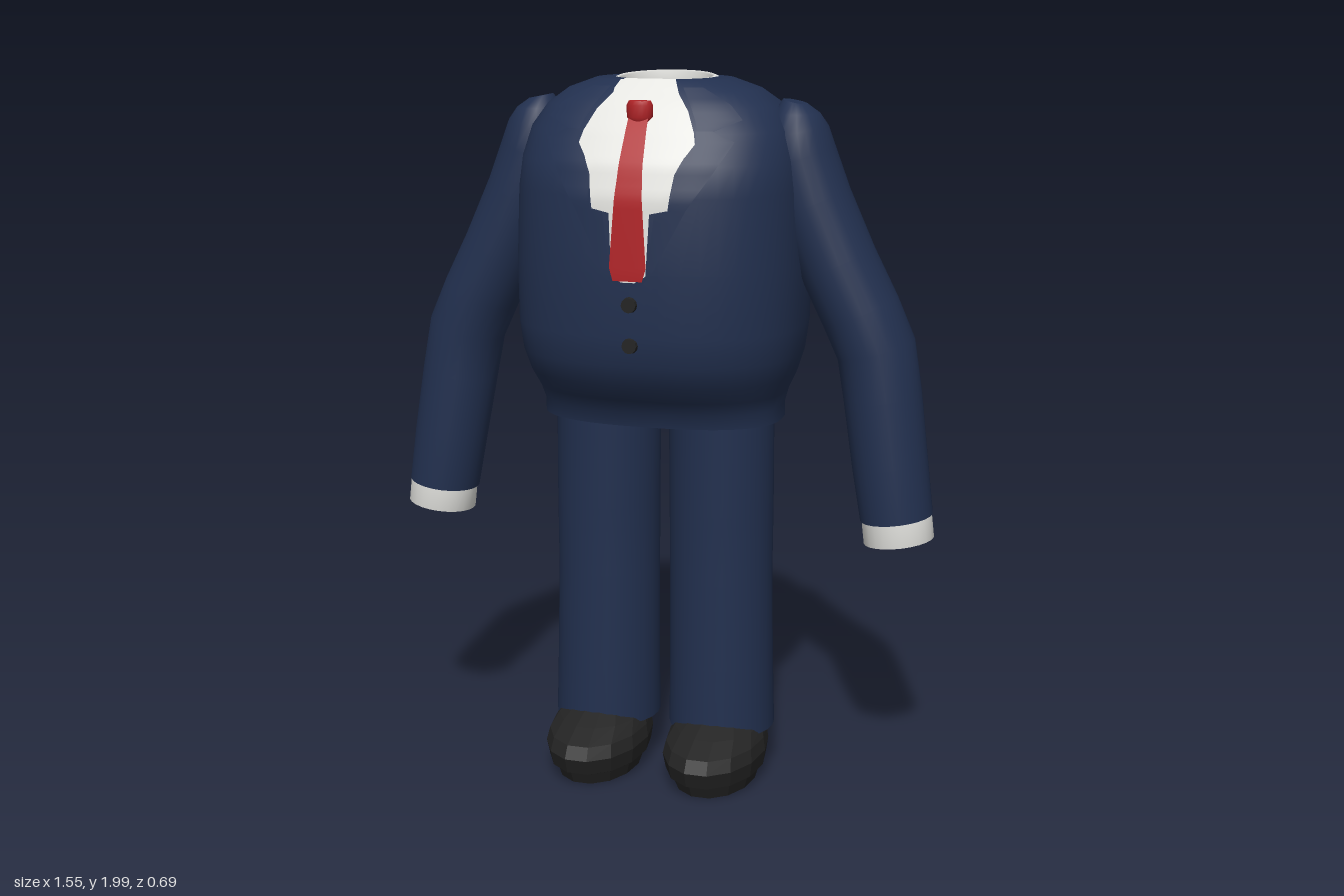
import * as THREE from 'three';

const mat = (name, color, extra = {}) =>
  Object.assign(new THREE.MeshStandardMaterial({ color, side: THREE.DoubleSide, ...extra }), { name });

// Jacket profile from hem to neck: y, half width, front depth, back depth
const PROFILE = [
  [1.06, 0.338, 0.205, 0.235], [1.1, 0.338, 0.215, 0.215], [1.14, 0.348, 0.245, 0.24],
  [1.19, 0.37, 0.288, 0.28], [1.25, 0.388, 0.316, 0.316], [1.33, 0.398, 0.33, 0.335],
  [1.5, 0.4, 0.333, 0.34], [1.7, 0.393, 0.324, 0.34], [1.78, 0.385, 0.3, 0.328],
  [1.86, 0.362, 0.25, 0.292], [1.92, 0.32, 0.205, 0.25], [1.96, 0.265, 0.165, 0.208],
  [1.987, 0.19, 0.135, 0.165], [1.99, 0.135, 0.115, 0.135],
];
const power = (hx) => 2 + 0.5 * THREE.MathUtils.clamp((hx - 0.14) / 0.2, 0, 1);

function profileAt(y) {
  let i = 0;
  while (i < PROFILE.length - 2 && y > PROFILE[i + 1][0]) i++;
  const a = PROFILE[i], b = PROFILE[i + 1];
  const t = THREE.MathUtils.clamp((y - a[0]) / (b[0] - a[0]), 0, 1);
  return a.map((v, k) => v + (b[k] - v) * t);
}

// Depth of the jacket front at a given x and y
function frontZ(x, y) {
  const [, hx, zf] = profileAt(y), n = power(hx);
  return zf * Math.pow(Math.max(0, 1 - Math.pow(Math.abs(x) / hx, n)), 1 / n);
}

function buildGeometry(points, index) {
  const g = new THREE.BufferGeometry();
  g.setAttribute('position', new THREE.Float32BufferAttribute(points.flat(), 3));
  g.setIndex(index);
  g.computeVertexNormals();
  return g;
}

// Skin closed rings, listed from bottom to top, with optional flat end caps
function loft(rings, capBottom = false, capTop = false) {
  const n = rings[0].length, pts = rings.flat(), idx = [];
  for (let r = 0; r < rings.length - 1; r++) {
    for (let i = 0; i < n; i++) {
      const a = r * n + i, b = r * n + (i + 1) % n;
      idx.push(a, a + n, b, b, a + n, b + n);
    }
  }
  const cap = (ring, top) => {
    const start = pts.length;
    pts.push(...ring, [0, 1, 2].map((k) => ring.reduce((s, p) => s + p[k], 0) / n));
    for (let i = 0; i < n; i++) {
      const a = start + i, b = start + (i + 1) % n;
      idx.push(start + n, top ? b : a, top ? a : b);
    }
  };
  if (capBottom) cap(rings[0], false);
  if (capTop) cap(rings[rings.length - 1], true);
  return buildGeometry(pts, idx);
}

// Oval ring; tilt raises its +x side
function ring(cx, cy, cz, rx, rz, tilt = 0, n = 24) {
  return Array.from({ length: n }, (_, i) => {
    const a = (i / n) * Math.PI * 2, u = Math.cos(a) * rx;
    return [cx + u * Math.cos(tilt), cy + u * Math.sin(tilt), cz + Math.sin(a) * rz];
  });
}

// Rounded-square ring with separate front and back depths
function bodyRing([y, hx, zf, zb], n = 48) {
  const e = 2 / power(hx);
  return Array.from({ length: n }, (_, i) => {
    const a = (i / n) * Math.PI * 2, c = Math.cos(a), s = Math.sin(a);
    return [Math.sign(c) * hx * Math.abs(c) ** e, y, (s > 0 ? zf : -zb) * Math.abs(s) ** e];
  });
}

// Cloth panel lying on the jacket front; rows are [y, x from, x to], top to bottom
function panel(rows, lift) {
  const cols = 10, pts = [], idx = [];
  rows.forEach((row, r) => {
    const next = rows[r + 1];
    const steps = next ? Math.max(1, Math.ceil((row[0] - next[0]) / 0.02)) : 1;
    for (let k = 0; k < steps; k++) {
      const [y, x0, x1] = next ? row.map((v, j) => v + ((next[j] - v) * k) / steps) : row;
      const up = THREE.MathUtils.clamp((y - 1.75) / 0.2, 0, 1) * lift;
      for (let c = 0; c <= cols; c++) {
        const x = x0 + ((x1 - x0) * c) / cols;
        pts.push([x, y + up, frontZ(x, y) + lift]);
      }
    }
  });
  const w = cols + 1;
  for (let a = 0; a < pts.length - w; a++) {
    if (a % w < cols) idx.push(a, a + w, a + 1, a + 1, a + w, a + w + 1);
  }
  return buildGeometry(pts, idx);
}

export function createModel() {
  const suit = mat('navy suit', 0x22304f);
  const shirt = mat('white shirt', 0xe4e4e0);
  const tieRed = mat('red tie', 0xb02226);
  const black = mat('black leather', 0x232323, { flatShading: true });

  const model = new THREE.Group();
  model.name = 'suitedFigure';
  const add = (name, geometry, material, parent = model) => {
    const mesh = new THREE.Mesh(geometry, material);
    mesh.name = name;
    parent.add(mesh);
    return mesh;
  };

  // Jacket body and the trouser seat below it
  add('jacket', loft(PROFILE.map((p) => bodyRing(p))), suit);
  add('trouserSeat', loft([
    bodyRing([1.035, 0.2, 0.1, 0.12]), bodyRing([1.06, 0.3, 0.16, 0.17]), bodyRing([1.1, 0.332, 0.205, 0.205]),
  ], true, true), suit);

  // Shirt front and collar band around the open neck
  const shirtEdge = [
    [1.985, 0.07], [1.95, 0.09], [1.91, 0.125], [1.86, 0.15], [1.83, 0.158], [1.8, 0.135],
    [1.76, 0.115], [1.67, 0.103], [1.66, 0.055], [1.5, 0.047], [1.48, 0.03],
  ];
  add('shirtFront', panel(shirtEdge.map(([y, w]) => [y, -w, w]), 0.008), shirt);
  const collarRing = (y, r) => ring(0, y, -0.012, r, r * 0.95, 0, 32).map(([x, py, z]) => [x, py - 0.06 * z, z]);
  add('collar', loft([
    collarRing(1.95, 0.126), collarRing(1.987, 0.124), collarRing(1.991, 0.132), collarRing(1.986, 0.144),
  ]), shirt);

  // Tie blade and knot
  add('tieBlade', panel([
    [1.9, -0.026, 0.026], [1.75, -0.034, 0.034], [1.52, -0.05, 0.05], [1.485, -0.04, 0.04],
  ], 0.017), tieRed);
  add('tieKnot', loft([
    bodyRing([-0.027, 0.026, 0.02, 0.02], 16), bodyRing([-0.015, 0.035, 0.026, 0.02], 16),
    bodyRing([0.016, 0.036, 0.026, 0.02], 16), bodyRing([0.027, 0.03, 0.02, 0.02], 16),
  ], true, true), tieRed).position.set(0, 1.915, 0.232);

  // Jacket buttons
  for (const y of [1.42, 1.31]) {
    const button = add('jacketButton', new THREE.CylinderGeometry(0.02, 0.022, 0.016, 12), black);
    button.rotation.x = Math.PI / 2;
    button.position.set(0, y, frontZ(0, y) + 0.004);
  }

  for (const s of [1, -1]) {
    const side = s > 0 ? 'left' : 'right';
    const mirrored = (rows) => rows.map(([y, a, b]) => (s > 0 ? [y, a, b] : [y, -b, -a]));

    // Notched lapel and small shirt collar point
    add(side + 'UpperLapel', panel(mirrored([
      [1.96, 0.1, 0.15], [1.92, 0.13, 0.23], [1.885, 0.15, 0.265], [1.86, 0.16, 0.2],
    ]), 0.014), suit);
    add(side + 'Lapel', panel(mirrored([
      [1.86, 0.156, 0.2], [1.835, 0.162, 0.255], [1.8, 0.138, 0.235], [1.76, 0.118, 0.21],
      [1.67, 0.106, 0.15], [1.66, 0.07, 0.145], [1.5, 0.05, 0.062], [1.47, 0.0, 0.03],
    ]), 0.014), suit);
    add(side + 'CollarPoint', panel(mirrored([
      [1.975, 0.03, 0.075], [1.955, 0.035, 0.085], [1.94, 0.06, 0.085],
    ]), 0.016), shirt);

    // Sleeve, from cuff up to the rounded shoulder: x, y, z, radii, tilt
    const sleeve = [
      [0.668, 0.81, 0.015, 0.1, 0.105, 0.14], [0.645, 0.96, 0.01, 0.104, 0.11, 0.15],
      [0.618, 1.14, -0.005, 0.107, 0.115, 0.18], [0.595, 1.27, -0.012, 0.108, 0.12, 0.29],
      [0.55, 1.37, -0.012, 0.108, 0.12, 0.42], [0.485, 1.5, -0.01, 0.107, 0.118, 0.43],
      [0.415, 1.66, -0.01, 0.105, 0.115, 0.41], [0.375, 1.78, -0.01, 0.1, 0.11, 0.34],
      [0.365, 1.85, -0.01, 0.086, 0.1, 0.2], [0.364, 1.9, -0.01, 0.062, 0.076, 0],
      [0.36, 1.93, -0.01, 0.034, 0.038, -0.2],
    ];
    add(side + 'Sleeve', loft(sleeve.map(([x, y, z, a, b, t]) => ring(s * x, y, z, a, b, s * t)), false, true), suit);

    // Open shirt cuff with a folded inner wall
    const cuffRing = (x, y, r) => ring(s * x, y, 0.018, r, r, s * 0.14);
    add(side + 'Cuff', loft([
      cuffRing(0.668, 0.82, 0.085), cuffRing(0.677, 0.748, 0.086),
      cuffRing(0.677, 0.745, 0.097), cuffRing(0.668, 0.82, 0.097),
    ]), shirt);

    // Trouser leg
    const leg = [
      [0.15, 0.172, 0.152, 0.152], [0.35, 0.17, 0.148, 0.15], [0.6, 0.167, 0.146, 0.146],
      [0.8, 0.167, 0.147, 0.148], [1.09, 0.165, 0.147, 0.155],
    ];
    add(side + 'TrouserLeg', loft(leg.map(([y, x, rx, rz]) => ring(s * x, y, 0, rx, rz)), true, true), suit);

    // Faceted shoe: y, half width, toe z, heel z
    const shoe = [
      [0.01, 0.115, 0.25, -0.11], [0.045, 0.125, 0.265, -0.125], [0.055, 0.138, 0.29, -0.15],
      [0.1, 0.145, 0.305, -0.157], [0.135, 0.138, 0.285, -0.152], [0.165, 0.125, 0.215, -0.148],
      [0.19, 0.1, 0.15, -0.14],
    ];
    add(side + 'Shoe', loft(shoe.map(([y, hx, zf, zb]) =>
      ring(s * 0.175, y, (zf + zb) / 2, hx, (zf - zb) / 2, 0, 14)), true, true), black);
  }
  return model;
}
